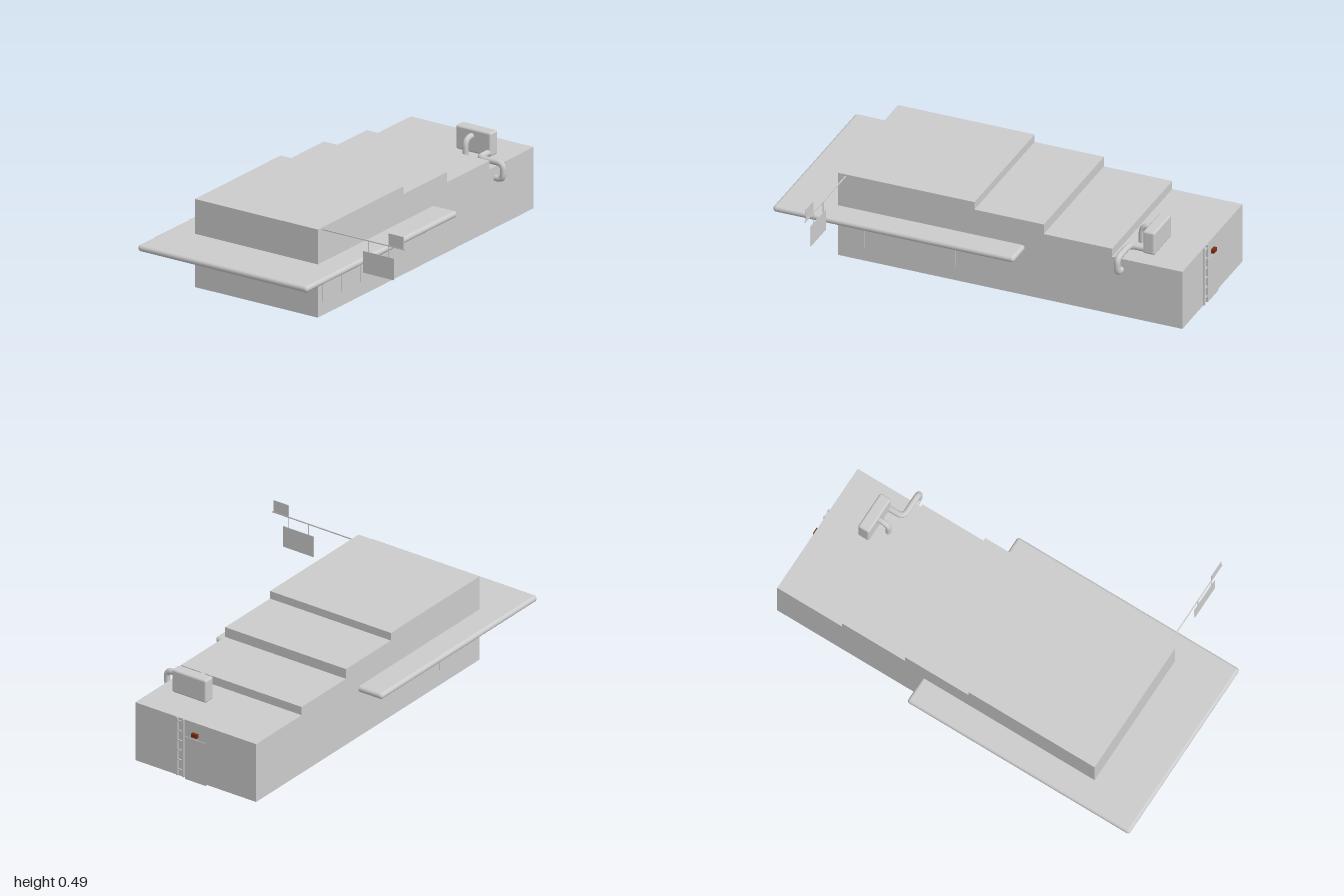
import * as THREE from 'three';
import { RoundedBoxGeometry } from 'three/addons/geometries/RoundedBoxGeometry.js';

const grey = new THREE.MeshStandardMaterial({ color: 0xcccccc });
const brown = new THREE.MeshStandardMaterial({ color: 0x7a2e0e });

export function createModel() {
  const model = new THREE.Group();

  const add = (name, geometry, material = grey, parent = model) => {
    const mesh = new THREE.Mesh(geometry, material);
    mesh.name = name;
    parent.add(mesh);
    return mesh;
  };
  // Box given by its limits on each axis, rounded when a radius is passed
  const box = (name, [x0, x1], [y0, y1], [z0, z1], { radius = 0, material = grey, parent = model } = {}) => {
    const size = [x1 - x0, y1 - y0, z1 - z0];
    const geometry = radius ? new RoundedBoxGeometry(...size, 4, radius) : new THREE.BoxGeometry(...size);
    const mesh = add(name, geometry, material, parent);
    mesh.position.set((x0 + x1) / 2, (y0 + y1) / 2, (z0 + z1) / 2);
    return mesh;
  };
  // Pipe with straight runs and rounded elbows
  const pipe = (name, corners, radius, bend) => {
    const pts = corners.map((c) => new THREE.Vector3(...c));
    const path = new THREE.CurvePath();
    let from = pts[0];
    for (let i = 1; i < pts.length - 1; i++) {
      const a = pts[i].clone().add(pts[i - 1].clone().sub(pts[i]).setLength(bend));
      const b = pts[i].clone().add(pts[i + 1].clone().sub(pts[i]).setLength(bend));
      path.add(new THREE.LineCurve3(from, a));
      path.add(new THREE.QuadraticBezierCurve3(a, pts[i], b));
      from = b;
    }
    path.add(new THREE.LineCurve3(from, pts[pts.length - 1]));
    add(name, new THREE.TubeGeometry(path, 64, radius, 12));
  };

  // Building with a roof that steps down towards +x
  const profile = new THREE.Shape([
    [-0.73, 0.006], [0.985, 0.006], [0.985, 0.305], [0.635, 0.305], [0.635, 0.347],
    [0.295, 0.347], [0.295, 0.397], [-0.05, 0.397], [-0.05, 0.436], [-0.73, 0.436],
  ].map(([x, y]) => new THREE.Vector2(x, y)));
  const body = new THREE.ExtrudeGeometry(profile, { depth: 0.685, bevelEnabled: false });
  add('building', body.translate(0, 0, -0.507));

  // Canopy slab around the building
  box('canopy', [-1, 0.2], [0.235, 0.266], [-0.64, 0.306], { radius: 0.015 });

  // Window panels
  for (let i = 0; i < 4; i++) {
    const x = -0.695 + i * 0.151;
    box('frontWindow', [x, x + 0.097], [0.075, 0.222], [0.175, 0.18]);
  }
  box('backWindow', [-0.63, -0.42], [0.085, 0.2], [-0.509, -0.503]);
  box('sideWindow', [-0.732, -0.726], [0.085, 0.2], [-0.47, -0.35]);

  // Door with lamp above
  box('door', [0.98, 0.988], [0, 0.219], [-0.224, -0.106]);
  box('doorLamp', [0.98, 1], [0.234, 0.253], [-0.18, -0.148], { material: brown });

  // Ladder up to the roof
  const ladder = new THREE.Group();
  ladder.name = 'ladder';
  model.add(ladder);
  for (const z of [-0.062, -0.098])
    box('ladderRail', [0.985, 0.993], [0.008, 0.306], [z - 0.004, z + 0.004], { parent: ladder });
  for (let i = 0; i < 6; i++) {
    const y = 0.04 + i * 0.05;
    box('ladderRung', [0.986, 0.992], [y - 0.003, y + 0.003], [-0.098, -0.062], { parent: ladder });
  }

  // Air unit and its pipes
  box('airUnit', [0.753, 0.812], [0.309, 0.426], [-0.094, 0.1], { radius: 0.01 });
  pipe('wallPipe', [[0.77, 0.328, 0.085], [0.68, 0.328, 0.085], [0.68, 0.328, 0.222], [0.68, 0.25, 0.222], [0.68, 0.25, 0.17]], 0.015, 0.03);
  pipe('roofPipe', [[0.77, 0.392, -0.005], [0.703, 0.392, -0.005], [0.703, 0.3, -0.005]], 0.014, 0.04);

  // Hanging sign on a pole
  const sign = new THREE.Group();
  sign.name = 'sign';
  model.add(sign);
  const signBox = (name, y, z, half) => box(name, [-0.692 - half, -0.692 + half], y, z, { parent: sign });
  signBox('signPole', [0.423, 0.428], [0.17, 0.638], 0.0025);
  signBox('upperSign', [0.427, 0.487], [0.547, 0.631], 0.0015);
  signBox('lowerSign', [0.264, 0.37], [0.405, 0.576], 0.0015);
  for (const z of [0.433, 0.546]) signBox('signHanger', [0.369, 0.425], [z - 0.0015, z + 0.0015], 0.0015);

  return model;
}
